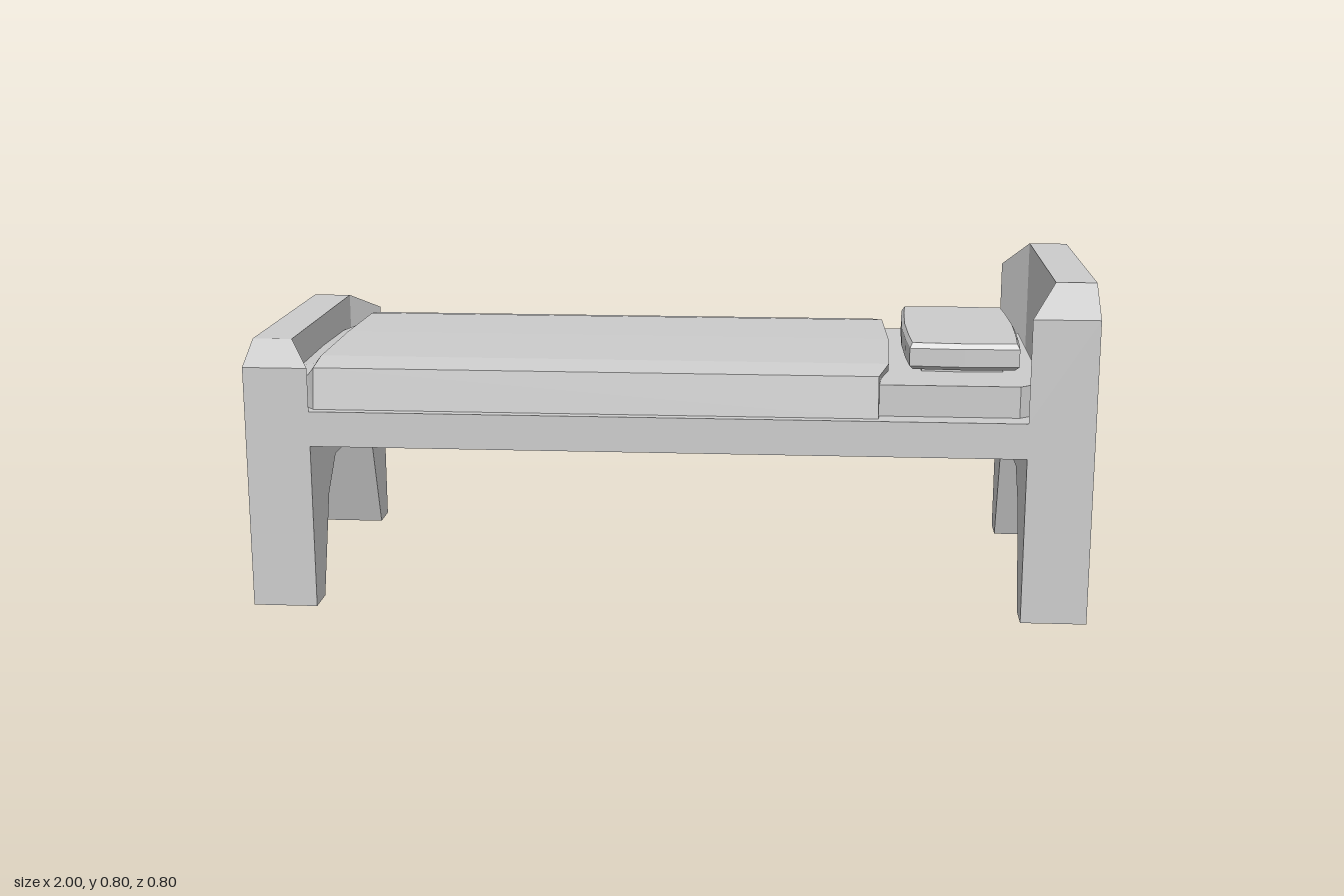
import * as THREE from 'three';

const material = new THREE.MeshStandardMaterial({ color: 0xcccccc, flatShading: true });

function part(name, geometry) {
  const mesh = new THREE.Mesh(geometry, material);
  mesh.name = name;
  return mesh;
}

// Joins closed rings of [x, y, z] points and caps both ends.
// Rings run counter-clockwise seen from the end they advance towards.
function loft(rings) {
  const pos = [];
  const tri = (...corners) => corners.forEach((p) => pos.push(...p));
  const n = rings[0].length;
  for (let r = 0; r < rings.length - 1; r++) {
    const a = rings[r], b = rings[r + 1];
    for (let i = 0; i < n; i++) {
      const j = (i + 1) % n;
      tri(a[i], a[j], b[j]);
      tri(a[i], b[j], b[i]);
    }
  }
  const first = rings[0], last = rings[rings.length - 1];
  for (let i = 1; i < n - 1; i++) {
    tri(first[0], first[i + 1], first[i]);
    tri(last[0], last[i], last[i + 1]);
  }
  const geometry = new THREE.BufferGeometry();
  geometry.setAttribute('position', new THREE.Float32BufferAttribute(pos, 3));
  geometry.computeVertexNormals();
  return geometry;
}

// Board with thick cheeks, a recessed inner face and bevelled shoulders
function board(shoulder, top) {
  const section = (z, inner, y) => [[inner, 0.485, z], [1, 0.485, z], [1, y, z], [inner, y, z]];
  return loft([
    section(-0.4, 0.845, shoulder), section(-0.3, 0.905, top),
    section(0.3, 0.905, top), section(0.4, 0.845, shoulder),
  ]);
}

// Pair of legs joined by an angular arch
function legs() {
  const outline = [
    [-0.4, 0], [-0.32, 0], [-0.24, 0.24], [-0.16, 0.32], [0.16, 0.32],
    [0.24, 0.24], [0.32, 0], [0.4, 0], [0.4, 0.485], [-0.4, 0.485],
  ].map(([x, y]) => new THREE.Vector2(x, y));
  return new THREE.ExtrudeGeometry(new THREE.Shape(outline), { depth: 0.155, bevelEnabled: false })
    .rotateY(Math.PI / 2).translate(0.845, 0, 0);
}

function bedEnd(name, shoulder, top) {
  const group = new THREE.Group();
  group.name = name;
  group.add(part('board', board(shoulder, top)), part('legs', legs()));
  return group;
}

// Mattress with clipped corners
function mattress() {
  const ring = (y) => [
    [-0.83, 0.345], [0.83, 0.345], [0.885, 0.3], [0.885, -0.3],
    [0.83, -0.345], [-0.83, -0.345], [-0.885, -0.3], [-0.885, 0.3],
  ].map(([x, z]) => [x, y, z]);
  return loft([ring(0.485), ring(0.56)]);
}

// Blanket: crowned cross-section, curved head edge, tapered tuck at the foot
function blanket() {
  const section = (x, w, top, bulge = 0) => {
    const half = [
      [x, 0.485, w], [x, top - 0.017, w - 0.015],
      [x + bulge * 0.75, top - 0.004, w * 0.74],
    ];
    const mirrored = half.map(([px, y, z]) => [px, y, -z]).reverse();
    return [[x + bulge, 0.485, 0], ...half, [x + bulge, top, 0], ...mirrored];
  };
  return loft([
    section(0.5, 0.375, 0.6, 0.033), section(-0.84, 0.375, 0.6),
    section(-0.86, 0.35, 0.577), section(-0.905, 0.3, 0.563),
  ]);
}

// Pillow: barrelled outline with bevelled rims over a narrower underside
function pillow() {
  const ring = (y, hx, hz) => [
    [-0.93, 0.97], [0, 1], [0.93, 0.97], [0.97, 0.6], [1, 0], [0.97, -0.6],
    [0.93, -0.97], [0, -1], [-0.93, -0.97], [-0.97, -0.6], [-1, 0], [-0.97, 0.6],
  ].map(([u, v]) => [0.705 + u * hx, y, v * hz]);
  return loft([
    ring(0.555, 0.105, 0.19), ring(0.572, 0.105, 0.19), ring(0.575, 0.13, 0.24),
    ring(0.585, 0.14, 0.253), ring(0.628, 0.14, 0.253), ring(0.64, 0.133, 0.243),
  ]);
}

export function createModel() {
  const bed = new THREE.Group();
  bed.name = 'bed';

  const foot = bedEnd('footEnd', 0.59, 0.64);
  foot.rotation.y = Math.PI;
  bed.add(bedEnd('headEnd', 0.73, 0.8), foot);

  // Slab between the two ends, reaching under the recessed boards
  bed.add(part('frame', new THREE.BoxGeometry(1.69, 0.085, 0.8).translate(0, 0.4425, 0)));

  bed.add(part('mattress', mattress()));
  bed.add(part('blanket', blanket()));
  bed.add(part('pillow', pillow()));
  return bed;
}
